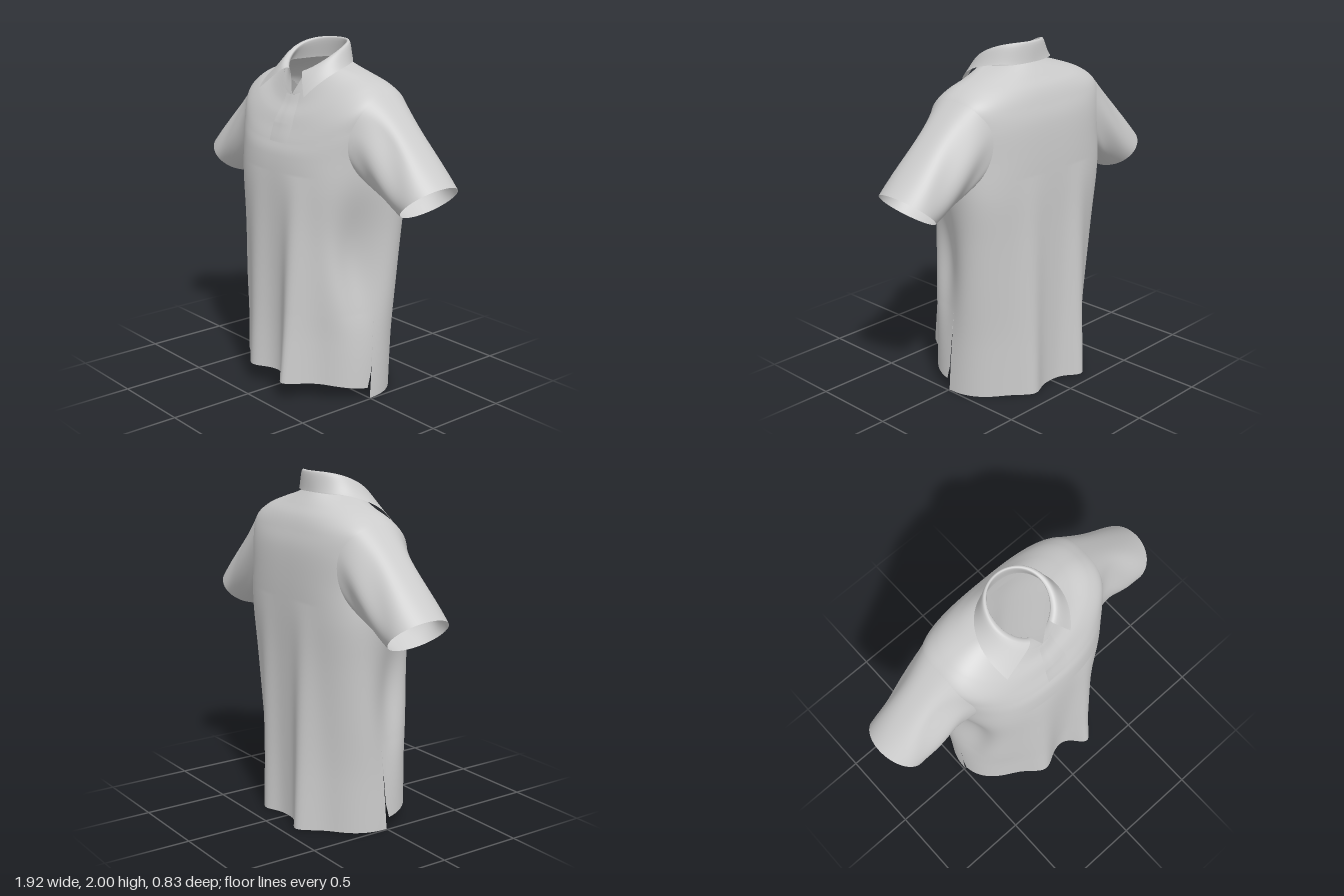
import * as THREE from 'three';
import { ParametricGeometry } from 'three/addons/geometries/ParametricGeometry.js';

const material = new THREE.MeshStandardMaterial({ color: 0xcccccc, roughness: 0.9, side: THREE.DoubleSide });
const HALF = Math.PI / 2;
const { smoothstep } = THREE.MathUtils;

// Body levels from hem to neck:
// height, half width, side seam z, front z, back z, front drop, back drop
const LEVELS = [
  [0.00, 0.492, 0.00, 0.310, -0.345, 0, 0],
  [0.30, 0.495, -0.02, 0.315, -0.350, 0, 0],
  [0.60, 0.508, -0.04, 0.320, -0.355, 0, 0],
  [0.95, 0.520, -0.07, 0.322, -0.360, 0, 0],
  [1.22, 0.535, -0.09, 0.318, -0.365, 0, 0],
  [1.42, 0.530, -0.09, 0.303, -0.362, -0.04, 0],
  [1.58, 0.540, -0.09, 0.278, -0.350, -0.12, 0],
  [1.70, 0.535, -0.08, 0.248, -0.325, -0.17, -0.02],
  [1.775, 0.450, -0.07, 0.220, -0.295, -0.18, -0.02],
  [1.825, 0.325, -0.06, 0.185, -0.250, -0.17, -0.01],
  [1.865, 0.190, -0.01, 0.165, -0.195, -0.16, 0.015],
];
const TOP = LEVELS.length - 1;

const gauss = (d, width) => Math.exp(-(d * d) / (width * width));
const power = (v, e) => Math.sign(v) * Math.pow(Math.abs(v), e);

// Smooth interpolation between body levels
function levelAt(s) {
  const i = Math.min(TOP - 1, Math.max(0, Math.floor(s)));
  const t = s - i;
  const row = (k) => LEVELS[Math.min(TOP, Math.max(0, k))];
  return LEVELS[0].map((_, c) => {
    const a = row(i - 1)[c], b = row(i)[c], d = row(i + 1)[c], e = row(i + 2)[c];
    return b + 0.5 * t * (d - a + t * (2 * a - 5 * b + 4 * d - e + t * (3 * (b - d) + e - a)));
  });
}

// Point on the body: theta 0 is the front centre, PI the back centre
function bodyPoint(theta, s, front, out) {
  const [y, w, zs, zf, zb, dropFront, dropBack] = levelAt(s);
  const c = Math.cos(theta);
  // the chest is squarer than the hem and the neck
  const chest = smoothstep(s, 1, 4) * (1 - smoothstep(s, 7, 10));
  const e = front ? 0.95 - 0.16 * chest : 0.87 - 0.18 * chest;
  let x = w * power(Math.sin(theta), e);
  let z = zs + (front ? zf - zs : zs - zb) * power(c, e);
  // drape folds that deepen toward the hem
  const k = Math.max(0, 1 - y / 1.3);
  if (front) z += k * Math.abs(c) * (0.14 * gauss(x - 0.21, 0.085) + 0.075 * gauss(x + 0.13, 0.1));
  else z -= k * Math.abs(c) * (0.1 * gauss(x + 0.2, 0.09) + 0.065 * gauss(x - 0.19, 0.09));
  // hollow ahead of the side seam, narrowing down to the slit
  x *= 1 - 0.19 * gauss(y - 0.85, 0.38) * gauss(z - 0.09 * y, 0.08 + 0.07 * y);
  // the front hem sits higher than the back hem
  const lift = front ? (0.065 + 0.05 * Math.abs(c)) * Math.max(0, 1 - y / 0.5) : 0;
  return out.set(x, y + lift + (front ? dropFront : dropBack) * c * c, z);
}

// Armhole ellipse in body coordinates
const ARM = { s: 5.75, ds: 1.65, front: 0.6, back: 0.78 };

function armholePoint(phi, scale, out) {
  const c = Math.cos(phi);
  const spread = c > 0 ? ARM.front : ARM.back;
  return bodyPoint(HALF - c * spread * scale, ARM.s + ARM.ds * scale * Math.sin(phi), c > 0, out);
}

function cutArmholes(geometry, thetaOf) {
  const uv = geometry.attributes.uv, index = geometry.index.array, kept = [];
  for (let i = 0; i < index.length; i += 3) {
    let theta = 0, s = 0;
    for (let j = 0; j < 3; j++) {
      theta += thetaOf(uv.getX(index[i + j])) / 3;
      s += uv.getY(index[i + j]) * TOP / 3;
    }
    const a = Math.abs(Math.abs(theta > Math.PI ? theta - 2 * Math.PI : theta) - HALF);
    const r = Math.abs(theta) < HALF ? ARM.front : ARM.back;
    if (Math.hypot(a / r, (s - ARM.s) / ARM.ds) > 0.96) kept.push(index[i], index[i + 1], index[i + 2]);
  }
  geometry.setIndex(kept);
  return geometry;
}

function addMesh(group, name, geometry) {
  const mesh = new THREE.Mesh(geometry, material);
  mesh.name = name;
  group.add(mesh);
}

function makePanel(front) {
  const thetaOf = (u) => (front ? -HALF : HALF) + u * Math.PI;
  const surface = (u, v, out) => {
    let theta = thetaOf(u);
    // open the side slit at the bottom of the front panel
    if (front) theta *= 1 - 0.03 * Math.max(0, 1 - levelAt(v * TOP)[0] / 0.1);
    return bodyPoint(theta, v * TOP, front, out);
  };
  return cutArmholes(new ParametricGeometry(surface, 96, 120), thetaOf);
}

// Sleeve leaves the armhole along the body surface, then runs straight to the cuff
function makeSleeve(side) {
  const rim = new THREE.Vector3(), start = new THREE.Vector3();
  const chord = new THREE.Vector3(), cuff = new THREE.Vector3();
  return new ParametricGeometry((u, v, out) => {
    const phi = -HALF - side * u * 2 * Math.PI;
    const c = Math.cos(phi), h = Math.sin(phi);
    armholePoint(phi, 1, rim);
    cuff.set(0.845 + 0.115 * h, 1.21 + 0.1 * h, -0.08 + 0.18 * c);
    chord.subVectors(cuff, rim);
    armholePoint(phi, 1.1, start);
    start.subVectors(rim, start).setLength(chord.length());
    const follow = smoothstep(h, -0.8, 0.4) * (c > 0 ? 0.65 : 0.65 + 0.4 * c);
    start.lerpVectors(chord, start, follow);
    // difference from a straight run fades out toward the cuff
    out.copy(rim).addScaledVector(chord, v).addScaledVector(start.sub(chord), v * (1 - v) * (1 - v));
    // soft diagonal creases
    out.z += 0.01 * Math.sin(Math.PI * v) * c * Math.sin(5 * h + 4 * v);
    out.x *= side;
    return out;
  }, 64, 24);
}

// Folded collar: stand, rolled top edge, then the fall with pointed ends
function makeCollar() {
  const base = new THREE.Vector3();
  const surface = (u, v, out) => {
    const q = 1 - 2 * u, a = Math.abs(q), sign = q < 0 ? -1 : 1;
    const angleTo = (end) => Math.PI - (Math.PI - end) * a;
    const tip = sign > 0 ? { angle: 0.64, r: 0.262 } : { angle: 0.95, r: 0.33 };
    const baseAngle = angleTo(0), foldAngle = angleTo(0.45), edgeAngle = angleTo(tip.angle);
    bodyPoint(baseAngle, TOP, Math.cos(baseAngle) > 0, base);
    const s = Math.sin(foldAngle), c = Math.cos(foldAngle);
    const foldY = 1.944 - 0.085 * c - 0.035 * c * c;
    const r = 0.205 + (tip.r - 0.205) * Math.pow(a, 1.5);
    const curve = new THREE.CatmullRomCurve3([
      base,
      new THREE.Vector3(0.163 * s, foldY, -0.02 + 0.165 * c),
      new THREE.Vector3(0.185 * s, foldY, -0.01 + 0.185 * c),
      new THREE.Vector3(r * Math.sin(edgeAngle), 1.885 - 0.175 * a ** 4, r * Math.cos(edgeAngle)),
    ]);
    curve.getPoint(v, out);
    out.x *= sign;
    return out;
  };
  return new ParametricGeometry(surface, 80, 18);
}

// Overlapping edge of the front opening
function makePlacket() {
  const bottom = 5.9;
  return new ParametricGeometry((u, v, out) => {
    const s = bottom + v * (TOP - bottom);
    bodyPoint(Math.asin((-0.03 + 0.09 * u) / levelAt(s)[1]), s, true, out);
    out.z += 0.012 * (1 - u) * Math.min(1, 3 * v) + 0.001;
    return out;
  }, 6, 24);
}

export function createModel() {
  const shirt = new THREE.Group();
  shirt.name = 'poloShirt';
  addMesh(shirt, 'frontPanel', makePanel(true));
  addMesh(shirt, 'backPanel', makePanel(false));
  addMesh(shirt, 'leftSleeve', makeSleeve(1));
  addMesh(shirt, 'rightSleeve', makeSleeve(-1));
  addMesh(shirt, 'collar', makeCollar());
  addMesh(shirt, 'placket', makePlacket());
  return shirt;
}
